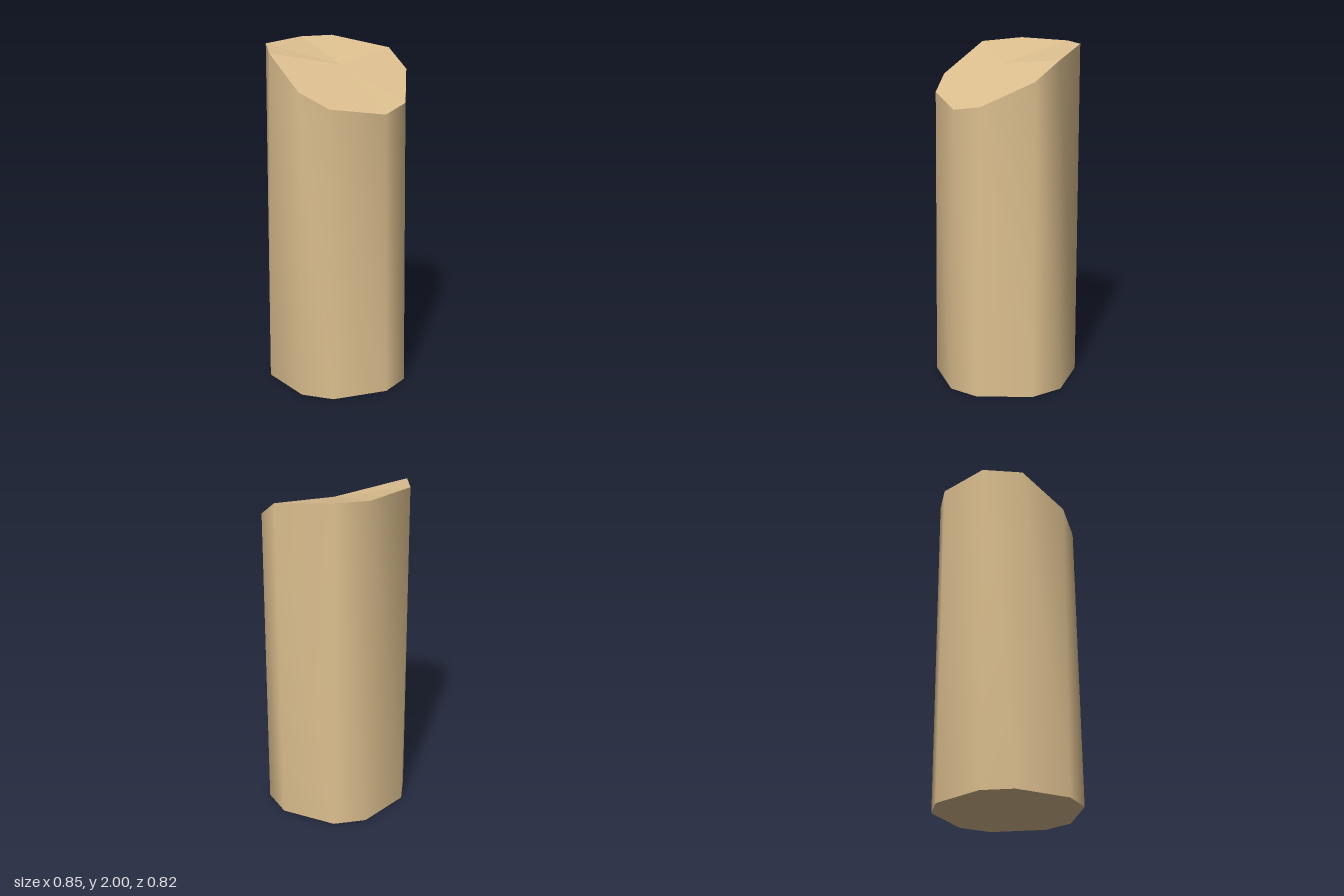
import * as THREE from 'three';

// Ten corners around the log: top x, y, z then bottom x, z
const ring = [
  [-0.08, 2.0, -0.413, -0.08, -0.413],
  [0.115, 2.0, -0.405, 0.115, -0.405],
  [0.383, 1.945, -0.16, 0.375, -0.195],
  [0.425, 1.84, 0, 0.425, 0],
  [0.297, 1.7, 0.27, 0.305, 0.305],
  [0.132, 1.665, 0.37, 0.142, 0.411],
  [-0.2, 1.72, 0.37, -0.19, 0.395],
  [-0.341, 1.805, 0.272, -0.341, 0.272],
  [-0.415, 1.98, 0.003, -0.428, -0.05],
  [-0.36, 2.0, -0.23, -0.36, -0.23],
];
const n = ring.length;
const topRing = ring.map(([x, y, z]) => [x, y, z]);
const bottomRing = ring.map(([, , , x, z]) => [x, 0, z]);

function build(points, faces) {
  const g = new THREE.BufferGeometry();
  g.setAttribute('position', new THREE.Float32BufferAttribute(points.flat(), 3));
  g.setIndex(faces);
  return g;
}

// Smooth wall joining the two rings
function wallGeometry() {
  const faces = [];
  for (let i = 0; i < n; i++) {
    const j = (i + 1) % n;
    faces.push(n + i, i, j, n + i, j, n + j);
  }
  const g = build([...topRing, ...bottomRing], faces);
  g.computeVertexNormals();
  return g;
}

// Flat-faceted fan from a centre point to a ring
function capGeometry(points, centre, up) {
  const faces = [];
  for (let i = 0; i < n; i++) {
    const j = (i + 1) % n;
    faces.push(n, ...(up ? [j, i] : [i, j]));
  }
  const g = build([...points, centre], faces).toNonIndexed();
  g.computeVertexNormals();
  return g;
}

export function createModel() {
  const group = new THREE.Group();
  group.name = 'cutLog';
  const wood = new THREE.MeshStandardMaterial({ color: 0xdcbf8f });
  wood.name = 'paleWood';

  const add = (name, geometry) => {
    const mesh = new THREE.Mesh(geometry, wood);
    mesh.name = name;
    group.add(mesh);
  };
  add('trunk', wallGeometry());
  add('slantedCut', capGeometry(topRing, [0, 1.895, 0.03], true));
  add('base', capGeometry(bottomRing, [0, 0, 0], false));
  return group;
}
